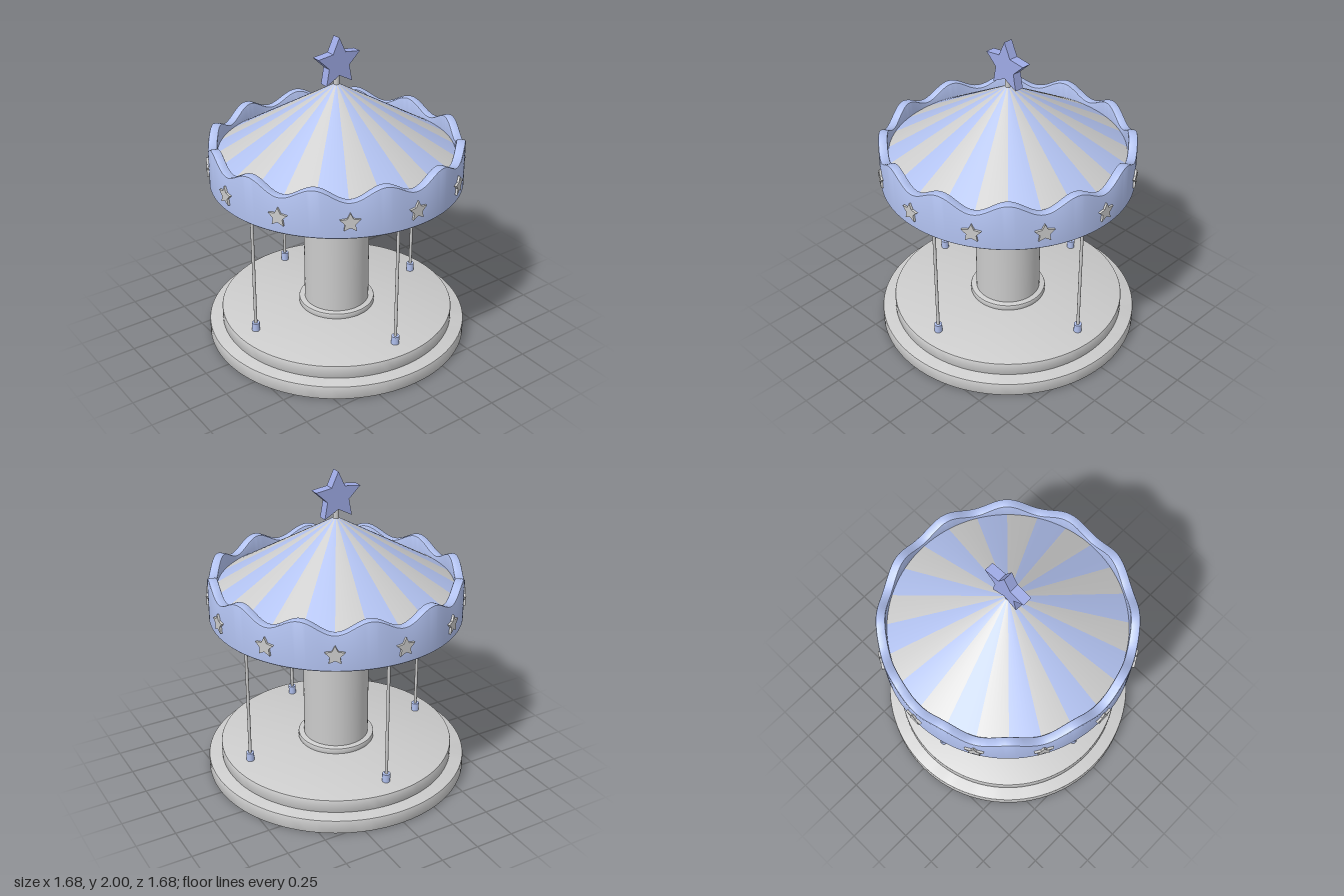
import * as THREE from 'three';
import { mergeGeometries, toCreasedNormals } from 'three/addons/utils/BufferGeometryUtils.js';

const grey = new THREE.MeshStandardMaterial({ color: 0xcccccc });
const blue = new THREE.MeshStandardMaterial({ color: 0xb0c0ee });
const violet = new THREE.MeshStandardMaterial({ color: 0x9fabe6 });

function add(parent, name, geometry, material) {
  const mesh = new THREE.Mesh(geometry, material);
  mesh.name = name;
  parent.add(mesh);
  return mesh;
}

// Closed solid of revolution from [radius, y] pairs, with crisp edges
function lathe(pairs, segments = 96) {
  const g = new THREE.LatheGeometry(pairs.map(([r, y]) => new THREE.Vector2(r, y)), segments);
  return toCreasedNormals(g, 0.5);
}

// Disc with softly bevelled rims
function disc(r, y0, y1, b) {
  return lathe([[0, y0], [r - b, y0], [r - b * 0.3, y0 + b * 0.3], [r, y0 + b],
    [r, y1 - b], [r - b * 0.3, y1 - b * 0.3], [r - b, y1], [0, y1]]);
}

function cylinder(r, y0, y1, segments) {
  return new THREE.CylinderGeometry(r, r, y1 - y0, segments).translate(0, (y0 + y1) / 2, 0);
}

// Five-pointed star, centred in depth
function star(outer, inner, depth) {
  const shape = new THREE.Shape();
  for (let i = 0; i < 10; i++) {
    const r = i % 2 ? inner : outer, a = (i * Math.PI) / 5;
    shape[i ? 'lineTo' : 'moveTo'](-r * Math.sin(a), r * Math.cos(a));
  }
  shape.closePath();
  return new THREE.ExtrudeGeometry(shape, { depth, bevelEnabled: false }).translate(0, 0, -depth / 2);
}

export function createModel() {
  const model = new THREE.Group();
  model.name = 'carousel';

  // Stepped base and central column
  add(model, 'lowerBase', disc(0.84, 0, 0.093, 0.008), grey);
  add(model, 'upperBase', disc(0.755, 0.09, 0.18, 0.008), grey);
  add(model, 'columnCollar', disc(0.247, 0.175, 0.218, 0.008), grey);
  add(model, 'column', cylinder(0.21, 0.2, 1.09, 64), grey);

  // Four poles standing in sockets
  for (let i = 0; i < 4; i++) {
    const pole = new THREE.Group();
    pole.name = 'pole';
    const a = (i * Math.PI) / 2;
    pole.position.set(0.627 * Math.sin(a), 0, 0.627 * Math.cos(a));
    add(pole, 'poleShaft', cylinder(0.01, 0.18, 1.09, 16), grey);
    add(pole, 'poleSocket', cylinder(0.025, 0.178, 0.236, 20), blue);
    model.add(pole);
  }

  // Canopy rim with closed floor; the upper edge is lifted into twelve waves
  const rim = new THREE.LatheGeometry([
    [0, 1.08], [0.784, 1.08], [0.79, 1.086], [0.79, 1.335], [0.787, 1.342], [0.78, 1.345],
    [0.742, 1.345], [0.735, 1.342], [0.732, 1.335], [0.732, 1.24],
  ].map(([r, y]) => new THREE.Vector2(r, y)), 240);
  const p = rim.attributes.position;
  for (let i = 0; i < p.count; i++) {
    if (p.getY(i) < 1.3) continue;
    const theta = Math.atan2(p.getX(i), p.getZ(i));
    p.setY(i, p.getY(i) - 0.037 * Math.cos(12 * theta));
  }
  add(model, 'canopyRim', toCreasedNormals(rim, 0.5), blue);

  // Striped conical roof of 24 alternating wedges
  const wedges = [[], []];
  const step = Math.PI / 12;
  for (let k = 0; k < 24; k++) {
    wedges[k % 2].push(
      new THREE.CylinderGeometry(0.015, 0.74, 0.43, 6, 1, true, k * step, step).translate(0, 1.49, 0));
  }
  add(model, 'roofStripesPlain', mergeGeometries(wedges[0]), grey);
  add(model, 'roofStripesBlue', mergeGeometries(wedges[1]), blue);

  // Stars around the rim
  const badge = star(0.062, 0.031, 0.04);
  for (let i = 0; i < 12; i++) {
    const a = (i * Math.PI) / 6;
    const mesh = add(model, 'rimStar', badge, grey);
    mesh.position.set(0.783 * Math.sin(a), 1.188, 0.783 * Math.cos(a));
    mesh.rotation.y = a;
  }

  // Finial post and large star
  add(model, 'finialPost', cylinder(0.018, 1.68, 1.8, 20), grey);
  add(model, 'finialStar', star(0.158, 0.077, 0.06), violet).position.y = 1.842;

  return model;
}
